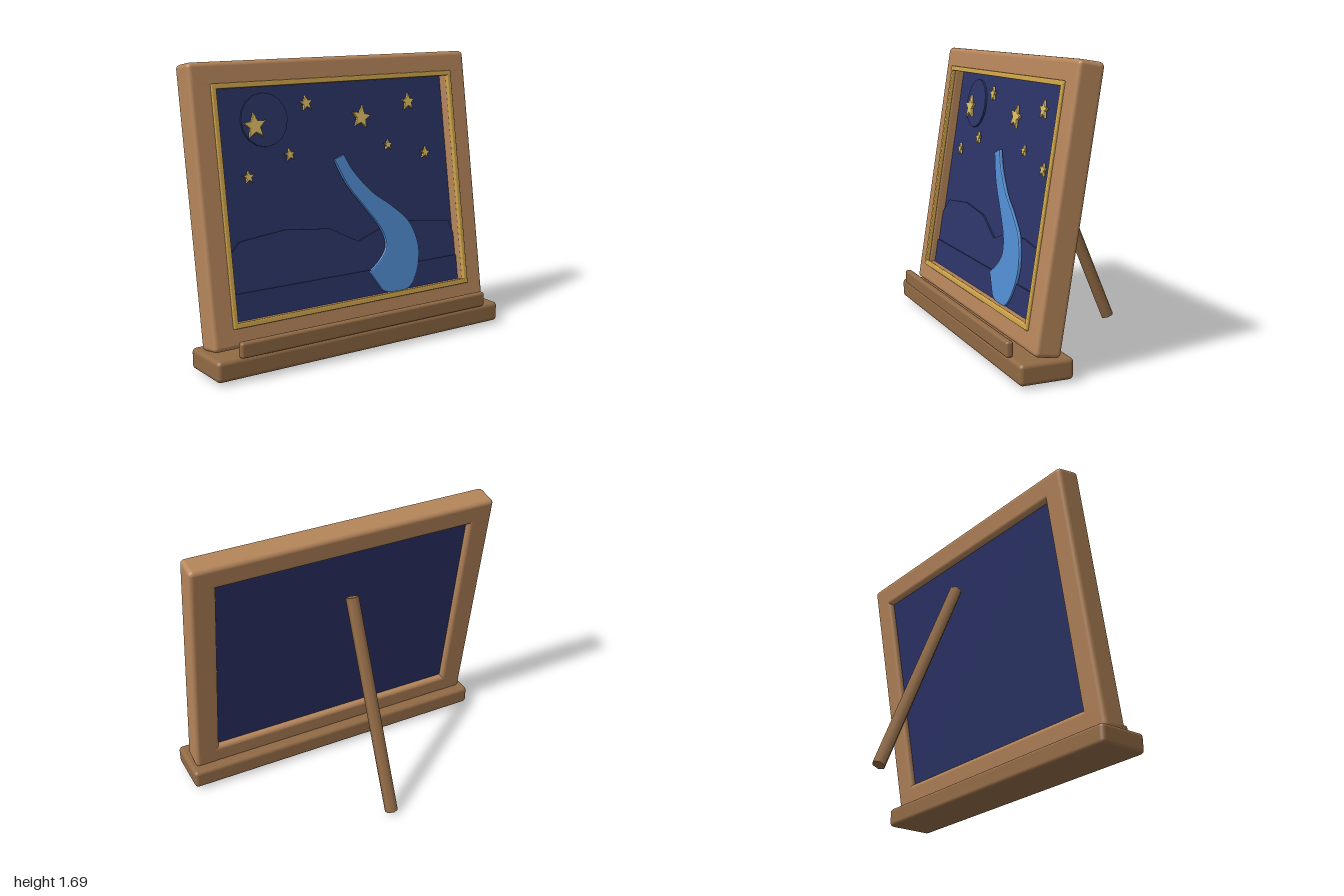
import * as THREE from 'three';
import { RoundedBoxGeometry } from 'three/addons/geometries/RoundedBoxGeometry.js';

const TILT = 0.16;
const CENTRE_Y = 0.915;

const mat = (name, color) => {
  const m = new THREE.MeshStandardMaterial({ color });
  m.name = name;
  return m;
};

export function createModel() {
  const frameWood = mat('frame wood', 0xb5855a);
  const standWood = mat('stand wood', 0x916a45);
  const gilt = mat('gilt trim', 0xcda349);
  const starGold = mat('star gold', 0xdcbc63);
  const night = mat('night blue', 0x2b3366);
  const hillBlue = mat('hill blue', 0x2c3567);
  const riverBlue = mat('river blue', 0x508bd0);

  const model = new THREE.Group();
  model.name = 'framedPicture';

  const add = (parent, name, geometry, material, x = 0, y = 0, z = 0) => {
    const mesh = new THREE.Mesh(geometry, material);
    mesh.name = name;
    mesh.position.set(x, y, z);
    parent.add(mesh);
    return mesh;
  };
  const rounded = (w, h, d, r) => new RoundedBoxGeometry(w, h, d, 3, r);

  // Tilted picture: local y runs up the frame, local z out of its face
  const picture = new THREE.Group();
  picture.name = 'picture';
  picture.position.set(0, CENTRE_Y, 0.231);
  picture.rotation.x = -TILT;
  model.add(picture);
  // World height to height along the tilted frame
  const up = (y) => (y - CENTRE_Y - 0.004) / Math.cos(TILT);

  // Wooden frame rails and stiles
  add(picture, 'topRail', rounded(1.93, 0.148, 0.155, 0.028), frameWood, 0, 0.706);
  add(picture, 'bottomRail', rounded(1.93, 0.138, 0.155, 0.028), frameWood, 0, -0.715);
  for (const s of [-1, 1]) {
    add(picture, s > 0 ? 'leftStile' : 'rightStile', rounded(0.154, 1.562, 0.154, 0.025), frameWood, s * 0.888, -0.003);
  }

  // Gilt trim laid on the inner edge of the frame
  add(picture, 'topTrim', rounded(1.68, 0.03, 0.024, 0.006), gilt, 0, 0.645, 0.078);
  add(picture, 'bottomTrim', rounded(1.68, 0.03, 0.024, 0.006), gilt, 0, -0.658, 0.078);
  for (const s of [-1, 1]) {
    add(picture, s > 0 ? 'leftTrim' : 'rightTrim', rounded(0.03, 1.33, 0.024, 0.006), gilt, s * 0.825, -0.0065, 0.078);
  }

  // Night sky panel
  add(picture, 'skyPanel', new THREE.BoxGeometry(1.7, 1.36, 0.052), night, 0, 0, -0.016);

  // Flat relief pieces, outlined with heights in world units
  const relief = (name, shape, depth, bevel, material, z) => {
    const geometry = new THREE.ExtrudeGeometry(shape, {
      depth, curveSegments: 24, bevelEnabled: bevel > 0,
      bevelThickness: bevel, bevelSize: bevel, bevelOffset: -bevel, bevelSegments: 2,
    });
    return add(picture, name, geometry, material, 0, 0, z);
  };
  const points = (list) => list.map(([x, y]) => new THREE.Vector2(x, up(y)));

  // Moon disc
  const moon = add(picture, 'moon', new THREE.CylinderGeometry(0.152, 0.152, 0.014, 16), hillBlue, -0.49, up(1.36), 0.015);
  moon.rotation.x = Math.PI / 2;

  // Hills and foreground
  const hills = new THREE.Shape(points([
    [-0.82, 0.27], [0.82, 0.27], [0.81, 0.57], [0.78, 0.65], [0.5, 0.685], [0.27, 0.67],
    [0.08, 0.61], [-0.12, 0.71], [-0.42, 0.74], [-0.72, 0.71], [-0.82, 0.61],
  ]));
  relief('hills', hills, 0.012, 0, hillBlue, 0.008);
  add(picture, 'foreground', new THREE.BoxGeometry(1.64, 0.165, 0.02), night, 0, up(0.35), 0.018);

  // Winding river
  const river = new THREE.Shape();
  river.moveTo(-0.05, up(1.1));
  river.splineThru(points([[0.03, 0.94], [0.14, 0.8], [0.245, 0.66], [0.27, 0.56], [0.22, 0.485], [0.13, 0.42]]));
  river.lineTo(0.19, up(0.335));
  river.splineThru(points([[0.23, 0.29], [0.32, 0.275], [0.42, 0.29], [0.49, 0.39], [0.515, 0.53],
    [0.46, 0.68], [0.34, 0.79], [0.2, 0.89], [0.08, 1.02], [0.02, 1.125]]));
  relief('river', river, 0.008, 0.008, riverBlue, 0.022);

  // Stars: x, height, radius, turn
  const stars = [
    [-0.56, 1.33, 0.077, 0.05], [-0.21, 1.435, 0.047, 0.1], [0.17, 1.33, 0.072, -0.2], [0.53, 1.4, 0.054, 0],
    [-0.35, 1.155, 0.039, 0.1], [0.35, 1.155, 0.034, 0], [0.63, 1.085, 0.04, -0.15], [-0.63, 1.055, 0.039, 0.05],
  ];
  for (const [x, y, radius, turn] of stars) {
    const outline = [];
    for (let i = 0; i < 10; i++) {
      const a = Math.PI / 2 + (i * Math.PI) / 5;
      const r = i % 2 ? radius * 0.45 : radius;
      outline.push(new THREE.Vector2(Math.cos(a) * r, Math.sin(a) * r));
    }
    const star = relief('star', new THREE.Shape(outline), 0.008, 0.004, starGold, 0.024);
    star.position.x = x;
    star.position.y = up(y);
    star.rotation.z = turn;
  }

  // Ledge with a front lip
  add(model, 'ledge', rounded(2, 0.12, 0.312, 0.025), standWood, 0, 0.078, 0.375);
  add(model, 'ledgeLip', rounded(1.735, 0.09, 0.042, 0.015), standWood, 0, 0.183, 0.531);

  // Hexagonal rear prop leg
  const leg = add(model, 'propLeg', new THREE.CylinderGeometry(0.04, 0.04, 1.36, 6), standWood, 0, 0.645, -0.249);
  leg.rotation.x = 0.4;

  return model;
}
